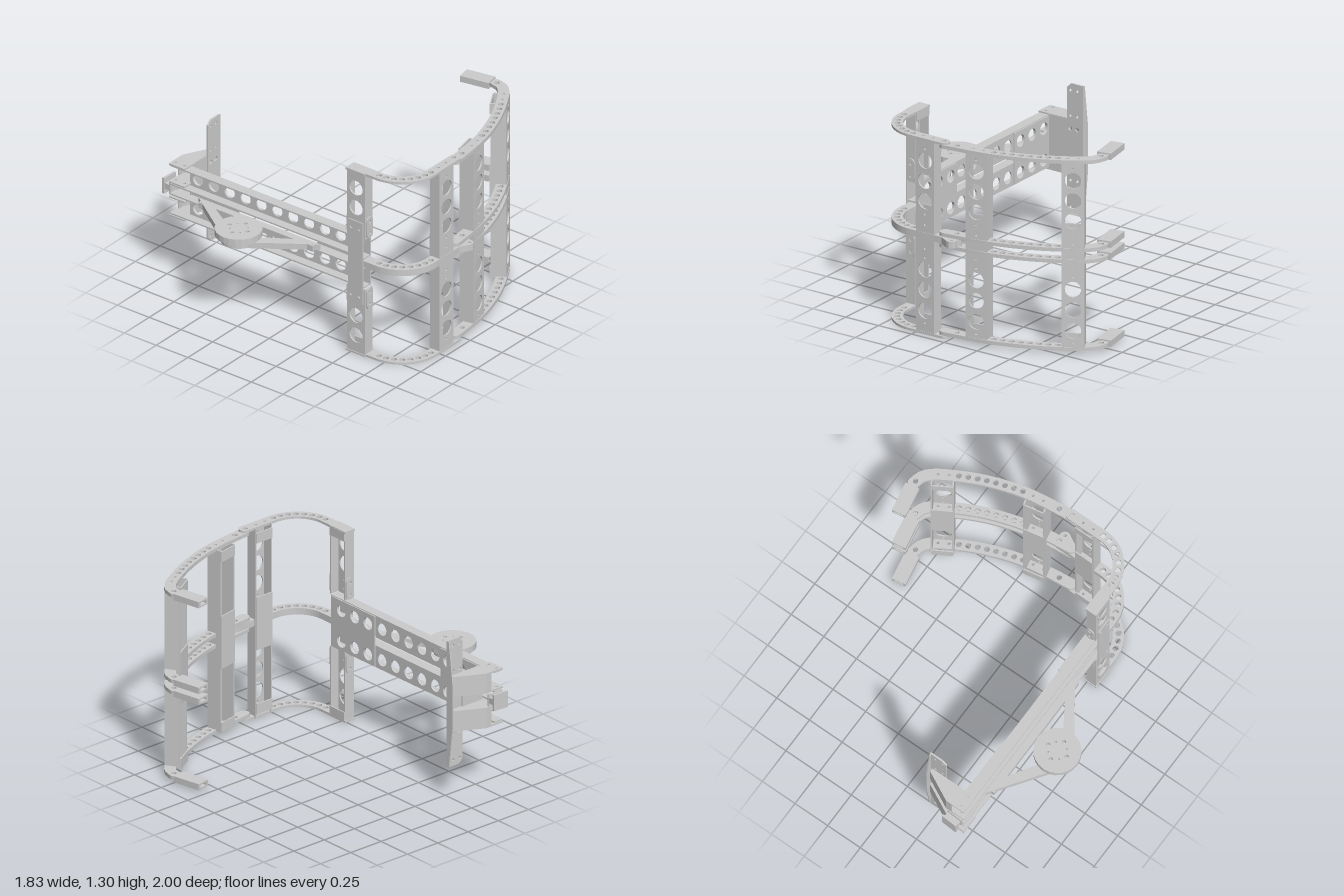
import * as THREE from 'three';

const mat = new THREE.MeshStandardMaterial({ color: 0xcccccc, side: THREE.DoubleSide });
const V2 = (x, y) => new THREE.Vector2(x, y);

function add(parent, name, geo) {
  const m = new THREE.Mesh(geo, mat);
  m.name = name;
  parent.add(m);
  return m;
}

// box given by its min and max on each axis
function box(parent, name, x0, x1, y0, y1, z0, z1) {
  const m = add(parent, name, new THREE.BoxGeometry(x1 - x0, y1 - y0, z1 - z0));
  m.position.set((x0 + x1) / 2, (y0 + y1) / 2, (z0 + z1) / 2);
  return m;
}

// flat plate from an outline and round holes [u, v, r], extruded along +z
function plate(outline, holes, depth) {
  const s = new THREE.Shape(outline.map((p) => (p.isVector2 ? p : V2(...p))));
  for (const [u, v, r] of holes) s.holes.push(new THREE.Path().absarc(u, v, r, 0, Math.PI * 2, true));
  return new THREE.ExtrudeGeometry(s, { depth, bevelEnabled: false, curveSegments: 10 });
}
const rect = (a, b, c, d) => [[a, c], [b, c], [b, d], [a, d]];

// plate lying flat: outline and holes in (x, z), bottom at y
function flat(parent, name, outline, holes, y, h) {
  const g = plate(outline.map(([x, z]) => [x, -z]), holes.map(([x, z, r]) => [x, -z, r]), h);
  return add(parent, name, g.rotateX(-Math.PI / 2).translate(0, y, 0));
}

// plate facing x: outline and holes in (z, y), from x to x + t
function sidePlate(parent, name, outline, holes, x, t) {
  const g = plate(outline.map(([z, y]) => [-z, y]), holes.map(([z, y, r]) => [-z, y, r]), t);
  return add(parent, name, g.rotateY(Math.PI / 2).translate(x, 0, 0));
}

// band of constant width with round ends around a path of (x, z) points
function band(points, half) {
  const a = [], b = [], n = points.length - 1;
  const angle = (i) => {
    const d = points[Math.min(i + 1, n)].clone().sub(points[Math.max(i - 1, 0)]);
    return Math.atan2(d.y, d.x);
  };
  const off = (p, t) => [p.x + half * Math.cos(t), p.y + half * Math.sin(t)];
  points.forEach((p, i) => {
    a.push(off(p, angle(i) - Math.PI / 2));
    b.unshift(off(p, angle(i) + Math.PI / 2));
  });
  for (let k = 1; k < 8; k++) {
    a.push(off(points[n], angle(n) - Math.PI / 2 + (k * Math.PI) / 8));
    b.push(off(points[0], angle(0) + Math.PI / 2 + (k * Math.PI) / 8));
  }
  return [...a, ...b];
}

// upright channel: holed web at local z = 0, flanges and closing plates behind it
function post(parent, name, { x, z, turn, w, d, y0, y1, holes, covers }) {
  const g = new THREE.Group(), h = w / 2;
  g.name = name;
  add(g, 'postWeb', plate(rect(-h, h, y0, y1), holes, 0.01).translate(0, 0, -0.01));
  for (const s of [-1, 1]) {
    box(g, 'postFlange', s * (h - 0.005) - 0.005, s * (h - 0.005) + 0.005, y0, y1, -d, -0.01);
  }
  for (const [c0, c1] of covers) box(g, 'postCover', -h + 0.004, h - 0.004, c0, c1, -d - 0.008, -d);
  g.position.set(x, 0, z);
  g.rotation.y = turn;
  parent.add(g);
}

export function createModel() {
  const root = new THREE.Group();
  root.name = 'clampArm';

  // uprights of the curved frame
  const big = [1.155, 1.02, 0.885, 0.43, 0.295, 0.155].map((y) => [0, y, 0.052]);
  const small = [1.235, 0.8, 0.73, 0.57, 0.51, 0.075].map((y) => [0, y, 0.008]);
  const holes = [...big, ...small];
  const covers = [[0.03, 0.1], [0.47, 0.83], [1.2, 1.27]];
  post(root, 'nearPost', { x: -0.18, z: 0.953, turn: 0, w: 0.14, d: 0.075, y0: 0.003, y1: 1.3, holes, covers });
  post(root, 'middlePost', { x: 0.187, z: 0.921, turn: 0.2, w: 0.145, d: 0.098, y0: 0.035, y1: 1.275, holes, covers });
  post(root, 'farPost', { x: 0.767, z: 0.7, turn: 0.53, w: 0.145, d: 0.1, y0: 0.035, y1: 1.275, holes, covers });

  // corner upright, split where the main arm passes through
  const cornerHoles = (ys) => ys.map((y) => [0, y, Math.abs(y - 0.655) < 0.3 ? 0.014 : 0.052]);
  const corner = { x: -0.565, z: 0.54, turn: -Math.PI / 2, w: 0.145, d: 0.072 };
  post(root, 'lowerCornerPost', { ...corner, y0: 0.003, y1: 0.475, holes: cornerHoles([0.13, 0.27, 0.38, 0.44]), covers: [[0.01, 0.07]] });
  post(root, 'upperCornerPost', { ...corner, y0: 0.835, y1: 1.3, holes: cornerHoles([1.18, 1.04, 0.93, 0.87]), covers: [[1.24, 1.3]] });
  box(root, 'cornerCap', -0.57, -0.487, 1.29, 1.305, 0.463, 0.613);
  box(root, 'cornerCap', -0.57, -0.487, 0, 0.012, 0.463, 0.613);
  sidePlate(root, 'cornerSplicePlate', rect(0.485, 0.6, 0.365, 0.95),
    [0.42, 0.9].flatMap((y) => [[0.51, y, 0.012], [0.575, y, 0.012]]), -0.574, 0.007);
  for (const yc of [0.405, 0.91]) {
    for (const z of [0.612, 0.458]) {
      const tab = band([V2(-0.525, yc - 0.045), V2(-0.525, yc + 0.045)], 0.03);
      add(root, 'cornerTab', plate(tab, [[-0.525, yc - 0.04, 0.011], [-0.525, yc + 0.04, 0.011]], 0.008).translate(0, 0, z));
    }
  }

  // quarter-round hoops joining the corner to the near upright
  const arc = [], arcHoles = [];
  for (let i = 0; i <= 14; i++) {
    const t = (i / 14) * Math.PI / 2;
    arc.push(V2(-0.295 - 0.23 * Math.cos(t), 0.69 + 0.23 * Math.sin(t)));
    if (i % 2 === 0) arcHoles.push([arc[i].x, arc[i].y, 0.018]);
  }
  arcHoles.push([-0.22, 0.917, 0.009], [-0.145, 0.917, 0.009], [-0.06, 0.917, 0.015]);
  for (const [y, h, end] of [[0, 0.016, -0.055], [0.633, 0.044, 0.035], [1.289, 0.016, -0.055]]) {
    const path = [V2(-0.525, 0.5), ...arc, V2(end, 0.92)];
    flat(root, 'cornerHoop', band(path, 0.036), arcHoles, y, h);
  }
  flat(root, 'hingeTab', [[-0.07, 0.945], [0.06, 0.945], [0.062, 0.965], [0.052, 0.985], [0.03, 0.997], [0.005, 0.99]],
    [[0.03, 0.968, 0.01]], 0.633, 0.044);

  // swept hoops with a gripping block at each free end
  const sweep = new THREE.CatmullRomCurve3([
    [-0.05, 0.918], [0.145, 0.895], [0.285, 0.87], [0.395, 0.838], [0.505, 0.798],
    [0.61, 0.75], [0.72, 0.69], [0.8, 0.638], [0.85, 0.585], [0.868, 0.52],
  ].map(([x, z]) => new THREE.Vector3(x, z, 0)));
  const at = (u) => { const p = sweep.getPointAt(u); return V2(p.x, p.y); };
  const sweepPath = Array.from({ length: 37 }, (_, i) => at(i / 36));
  const sweepHoles = [[0.08, 0.017], [0.187, 0.009], [0.255, 0.009], [0.774, 0.009], [0.84, 0.009], [0.985, 0.017]];
  for (let i = 0; i < 8; i++) sweepHoles.push([0.323 + i * 0.056, 0.018]);
  const sweepCut = sweepHoles.map(([u, r]) => [at(u).x, at(u).y, r]);
  for (const y of [0.021, 0.605, 0.681, 1.267]) {
    flat(root, 'sweptHoop', band(sweepPath, 0.036), sweepCut, y, 0.024);
    const s = new THREE.Shape(rect(-0.047, 0.047, -0.021, 0.021).map((p) => V2(...p)));
    s.holes.push(new THREE.Path(rect(-0.03, 0.03, -0.011, 0.011).map((p) => V2(...p))));
    const block = add(root, 'gripBlock', new THREE.ExtrudeGeometry(s, { depth: 0.2, bevelEnabled: false }).translate(0, 0, -0.1));
    block.position.set(0.843, y + 0.012, 0.4);
    block.rotation.y = 0.18;
  }

  // main arm: two channels with a gap, joined by end plates
  const rows = (z0, z1) => {
    const out = [];
    for (let i = 0; i < 11; i++) {
      const z = 0.495 - i * 0.125;
      if (z - 0.042 > z0 && z + 0.042 < z1) out.push([z, 0.757, 0.041], [z, 0.547, 0.041]);
    }
    return out;
  };
  for (const [y0, y1, hy] of [[0.48, 0.628, 0.547], [0.688, 0.832, 0.757]]) {
    sidePlate(root, 'armWeb', rect(-0.81, 0.6, y0, y1), rows(-0.81, 0.6).filter((h) => h[1] === hy), -0.502, 0.01);
    for (const y of [y0, y1 - 0.01]) box(root, 'armFlange', -0.56, -0.5, y, y + 0.01, -0.93, 0.6);
  }
  for (const [z0, z1] of [[-0.81, -0.44], [0.18, 0.59]]) {
    sidePlate(root, 'armEndPlate', rect(z0, z1, 0.485, 0.827), rows(z0, z1), -0.492, 0.008);
  }

  // triangular side frame carrying the round pad
  box(root, 'padFrameRail', -0.607, -0.56, 0.635, 0.675, -0.67, 0.23);
  const hub = Array.from({ length: 24 }, (_, i) => [-0.77 + 0.115 * Math.cos((i * Math.PI) / 12), -0.225 + 0.115 * Math.sin((i * Math.PI) / 12)]);
  flat(root, 'padHub', hub, [], 0.635, 0.045);
  for (const s of [-1, 1]) {
    const strut = [[-0.56, 0.48], [-0.82, 0.11], [-0.75, 0.08], [-0.56, 0.385]];
    flat(root, 'padStrut', strut.map(([x, z]) => [x, -0.225 + s * z]), [], 0.636, 0.04);
  }
  const pad = Array.from({ length: 24 }, (_, i) => [-0.77 + 0.15 * Math.cos((i * Math.PI) / 12), -0.225 + 0.15 * Math.sin((i * Math.PI) / 12)]);
  const padHoles = [];
  for (let i = 0; i < 8; i++) {
    const t = (i * Math.PI) / 4, r = i % 2 ? 0.058 : 0.07;
    padHoles.push([-0.77 + r * Math.cos(t), -0.225 + r * Math.sin(t), i % 2 ? 0.007 : 0.013]);
  }
  flat(root, 'roundPad', pad, padHoles, 0.678, 0.042);

  // rear mount: face plate, tall plate with tapered lip, wedge gussets
  box(root, 'mountFace', -0.495, -0.33, 0.472, 0.838, -0.822, -0.81);
  const tall = [[-0.34, 0.25], [-0.31, 0.22], [-0.222, 0.22], [-0.222, 1.085], [-0.31, 1.085], [-0.34, 1.055]];
  const tallHoles = [0.26, 0.44, 0.53, 0.785, 0.87, 1.04].flatMap((y) => {
    const r = y === 0.53 || y === 0.785 ? 0.015 : 0.009;
    return [[-0.315, y, r], [-0.262, y, r]];
  });
  add(root, 'mountTallPlate', plate(tall, tallHoles, 0.012).translate(0, 0, -0.812));
  sidePlate(root, 'mountLip', [[-0.8, 0.22], [-0.8, 1.085], [-0.82, 1.08], [-0.855, 0.8], [-0.855, 0.51], [-0.82, 0.225]], [], -0.226, 0.008);
  const wedge = [[-0.565, -0.812], [-0.235, -0.812], [-0.235, -0.835], [-0.43, -0.935], [-0.565, -0.935]];
  for (const y of [0.468, 0.598, 0.705, 0.832]) flat(root, 'mountGusset', wedge, [[-0.53, -0.91, 0.01], [-0.53, -0.84, 0.01]], y, 0.01);
  for (const y of [0.473, 0.71]) {
    flat(root, 'mountSlope', [[-0.235, -0.835], [-0.43, -0.935], [-0.47, -0.935], [-0.47, -0.927], [-0.435, -0.927], [-0.235, -0.826]], [], y, 0.125);
  }

  // small rear catch
  const rear = new THREE.Group();
  rear.name = 'rearCatch';
  box(rear, 'catchPlate', -0.055, 0.055, -0.055, 0.055, -0.01, 0.006);
  box(rear, 'catchNeck', -0.05, 0.05, -0.02, 0.02, 0.006, 0.06);
  box(rear, 'catchFoot', -0.055, 0.055, -0.04, 0.04, 0.045, 0.055);
  rear.position.set(-0.495, 0.655, -0.986);
  rear.rotation.y = -0.06;
  root.add(rear);
  return root;
}
